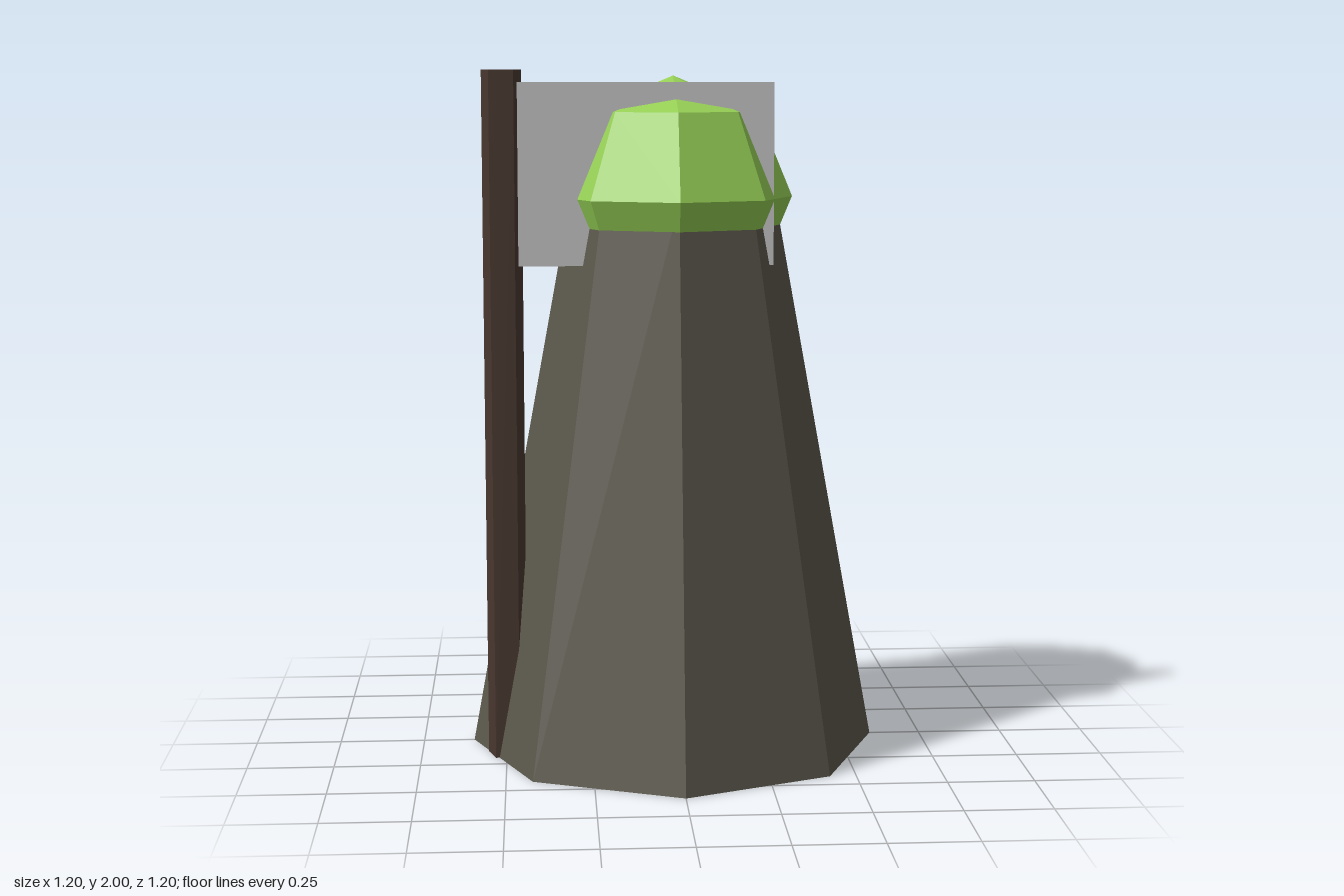
import * as THREE from 'three';

const material = (name, color) => {
  const m = new THREE.MeshStandardMaterial({ color });
  m.name = name;
  return m;
};

// Split shared corners so every facet stays flat
const faceted = (geometry) => {
  const flat = geometry.toNonIndexed();
  flat.computeVertexNormals();
  return flat;
};

export function createModel() {
  const group = new THREE.Group();
  const stone = material('dark stone', 0x5b584b);
  const green = material('leaf green', 0x96d056);
  const wood = material('dark wood', 0x493830);
  const cloth = material('pale grey', 0xc4c4c4);

  const add = (name, geometry, mat, x, y, z) => {
    const mesh = new THREE.Mesh(faceted(geometry), mat);
    mesh.name = name;
    mesh.position.set(x, y, z);
    group.add(mesh);
    return mesh;
  };

  // Tapered eight-sided tower
  const towerHeight = 1.633;
  add('tower', new THREE.CylinderGeometry(0.3, 0.6, towerHeight, 8), stone, 0, towerHeight / 2, 0);

  // Faceted dome centred on the top of the tower
  add('dome', new THREE.SphereGeometry(0.35, 8, 4), green, 0, towerHeight, 0);

  // Five-sided pole, with one corner to the back
  const pole = add('pole', new THREE.CylinderGeometry(0.06, 0.06, 2, 5), wood, -0.497, 1, 0.141);
  pole.rotation.y = Math.PI;

  // Stiff flag running from the pole through the dome
  add('flag', new THREE.BoxGeometry(0.77, 0.522, 0.04), cloth, -0.105, 1.704, 0.141);

  return group;
}
